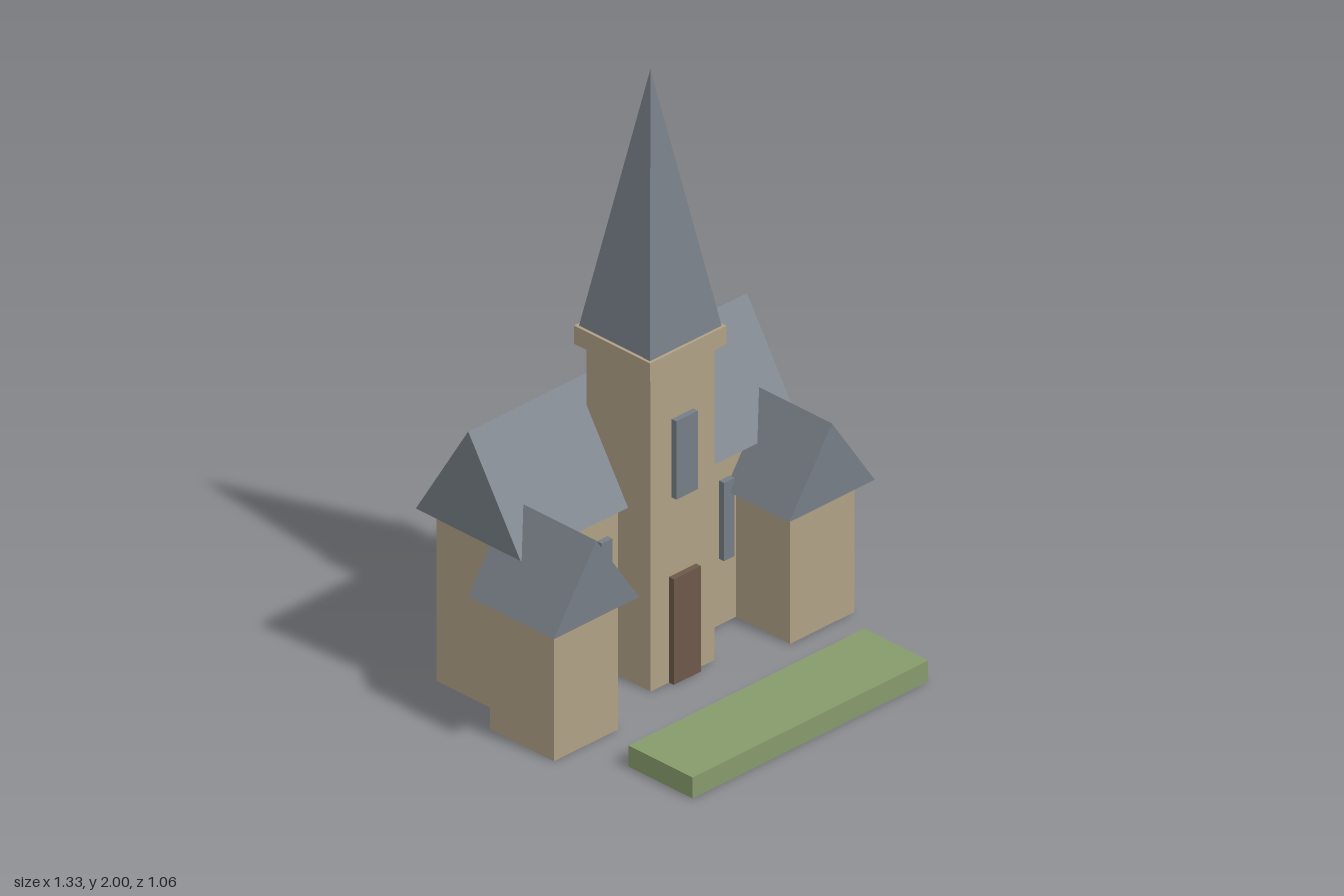
import * as THREE from 'three';

const mat = (name, color) => {
  const m = new THREE.MeshStandardMaterial({ color });
  m.name = name;
  return m;
};

export function createModel() {
  const stone = mat('stone', 0xb0a085);
  const slate = mat('slate', 0x767d85);
  const wood = mat('wood', 0x6c5848);
  const green = mat('hedge green', 0x879b6c);

  const model = new THREE.Group();
  model.name = 'church';

  const add = (name, geometry, material) => {
    const mesh = new THREE.Mesh(geometry, material);
    mesh.name = name;
    model.add(mesh);
    return mesh;
  };

  // Box given by its extents on each axis
  const box = (name, material, [x0, x1], [y0, y1], [z0, z1]) => {
    const mesh = add(name, new THREE.BoxGeometry(x1 - x0, y1 - y0, z1 - z0), material);
    mesh.position.set((x0 + x1) / 2, (y0 + y1) / 2, (z0 + z1) / 2);
    return mesh;
  };

  // Solid gable roof with its ridge along z
  const gable = (name, halfWidth, height, length) => {
    const shape = new THREE.Shape();
    shape.moveTo(-halfWidth, 0);
    shape.lineTo(halfWidth, 0);
    shape.lineTo(0, height);
    shape.closePath();
    const geometry = new THREE.ExtrudeGeometry(shape, { depth: length, bevelEnabled: false });
    geometry.translate(0, 0, -length / 2);
    return add(name, geometry, slate);
  };

  // Nave and its roof, ridge along x
  box('nave', stone, [-0.533, 0.533], [0, 0.585], [-0.488, -0.135]);
  const naveRoof = gable('naveRoof', 0.218, 0.35, 1.154);
  naveRoof.rotation.y = Math.PI / 2;
  naveRoof.position.set(0, 0.585, -0.312);

  // Side wings and paired tall windows
  for (const [side, s] of [['left', 1], ['right', -1]]) {
    const span = (a, b) => (s > 0 ? [a, b] : [-b, -a]);
    box(side + 'Wing', stone, span(0.356, 0.622), [0, 0.45], [-0.176, 0.09]);
    gable(side + 'WingRoof', 0.177, 0.262, 0.356).position.set(s * 0.488, 0.448, -0.046);
    box(side + 'InnerWindow', slate, span(0.176, 0.22), [0.225, 0.49], [-0.14, -0.115]);
    box(side + 'OuterWindow', slate, span(0.286, 0.33), [0.225, 0.49], [-0.14, -0.115]);
  }

  // Tower, cornice and square spire
  box('tower', stone, [-0.132, 0.132], [0, 1.07], [-0.266, 0]);
  box('cornice', stone, [-0.158, 0.158], [1.07, 1.132], [-0.292, 0.024]);
  const spireGeometry = new THREE.ConeGeometry(0.148 * Math.SQRT2, 0.868, 4, 1).toNonIndexed();
  spireGeometry.rotateY(Math.PI / 4);
  spireGeometry.computeVertexNormals();
  add('spire', spireGeometry, slate).position.set(0, 1.566, -0.134);

  // Tower window and door
  box('towerWindow', slate, [-0.045, 0.045], [0.623, 0.888], [-0.01, 0.02]);
  box('door', wood, [-0.056, 0.056], [0, 0.358], [-0.01, 0.02]);

  // Hedge in front
  box('hedge', green, [-0.488, 0.488], [0, 0.071], [0.266, 0.532]);

  return model;
}
